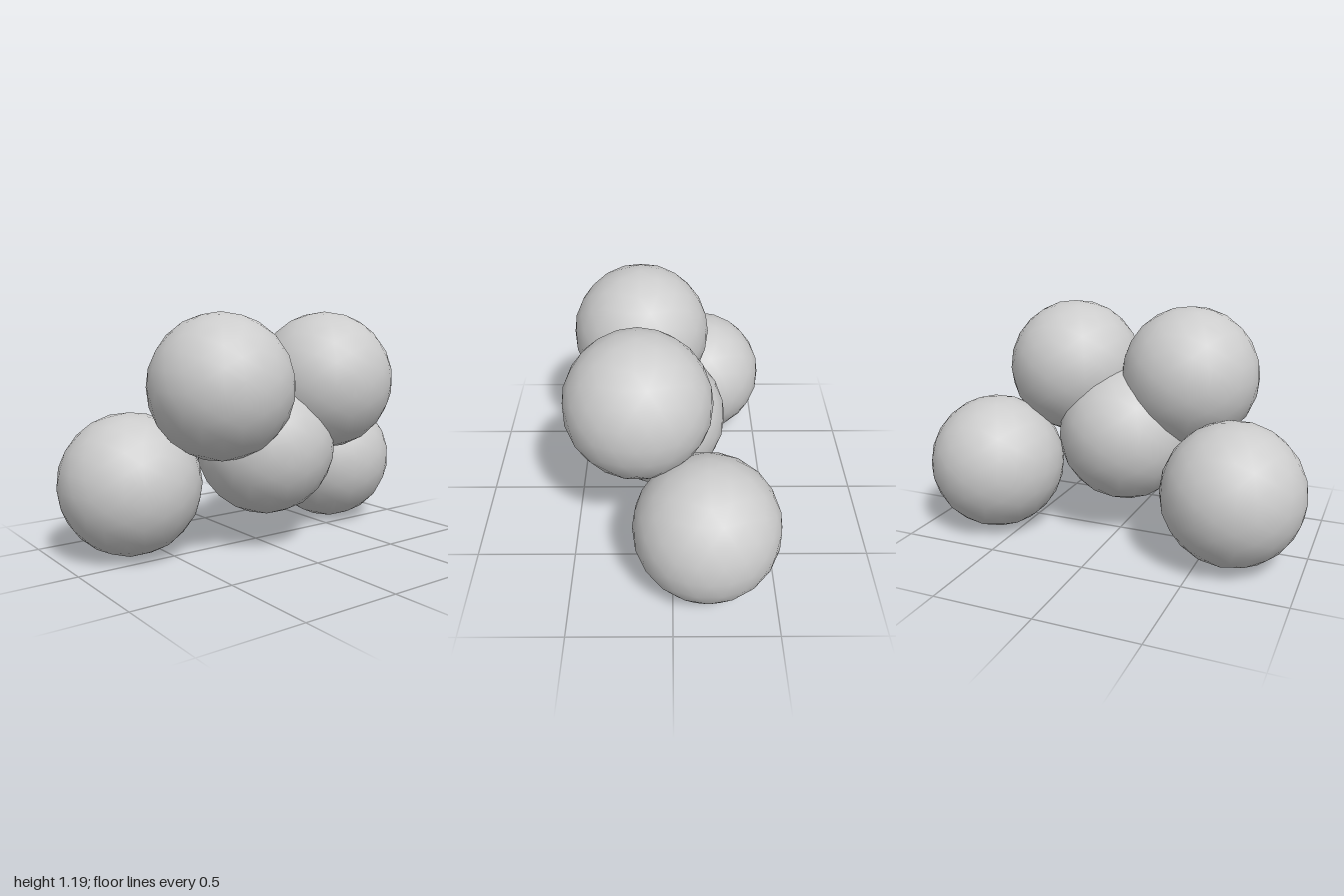
import * as THREE from 'three';

const RADIUS = 0.354;

// Icosphere: two successive halvings of an icosahedron, smooth normals
function icosphere(radius) {
  const base = new THREE.IcosahedronGeometry(1, 1).attributes.position;
  const indices = Array.from({ length: base.count }, (_, i) => i);
  return new THREE.PolyhedronGeometry(Array.from(base.array), indices, radius, 1);
}

export function createModel() {
  const model = new THREE.Group();
  model.name = 'sphereCluster';
  const grey = new THREE.MeshStandardMaterial({ color: 0xcccccc });
  grey.name = 'lightGrey';
  const geometry = icosphere(RADIUS);

  const addSphere = (name, x, y, z) => {
    const mesh = new THREE.Mesh(geometry, grey);
    mesh.name = name;
    mesh.position.set(x, y, z);
    model.add(mesh);
  };

  // Central sphere
  addSphere('centreSphere', 0, 0.521, 0.08);

  // Mirrored pairs: upper front and lower back
  for (const [side, s] of [['left', 1], ['right', -1]]) {
    addSphere(side + 'UpperSphere', s * 0.323, 0.84, 0.162);
    addSphere(side + 'LowerSphere', s * 0.646, 0.356, -0.162);
  }
  return model;
}
